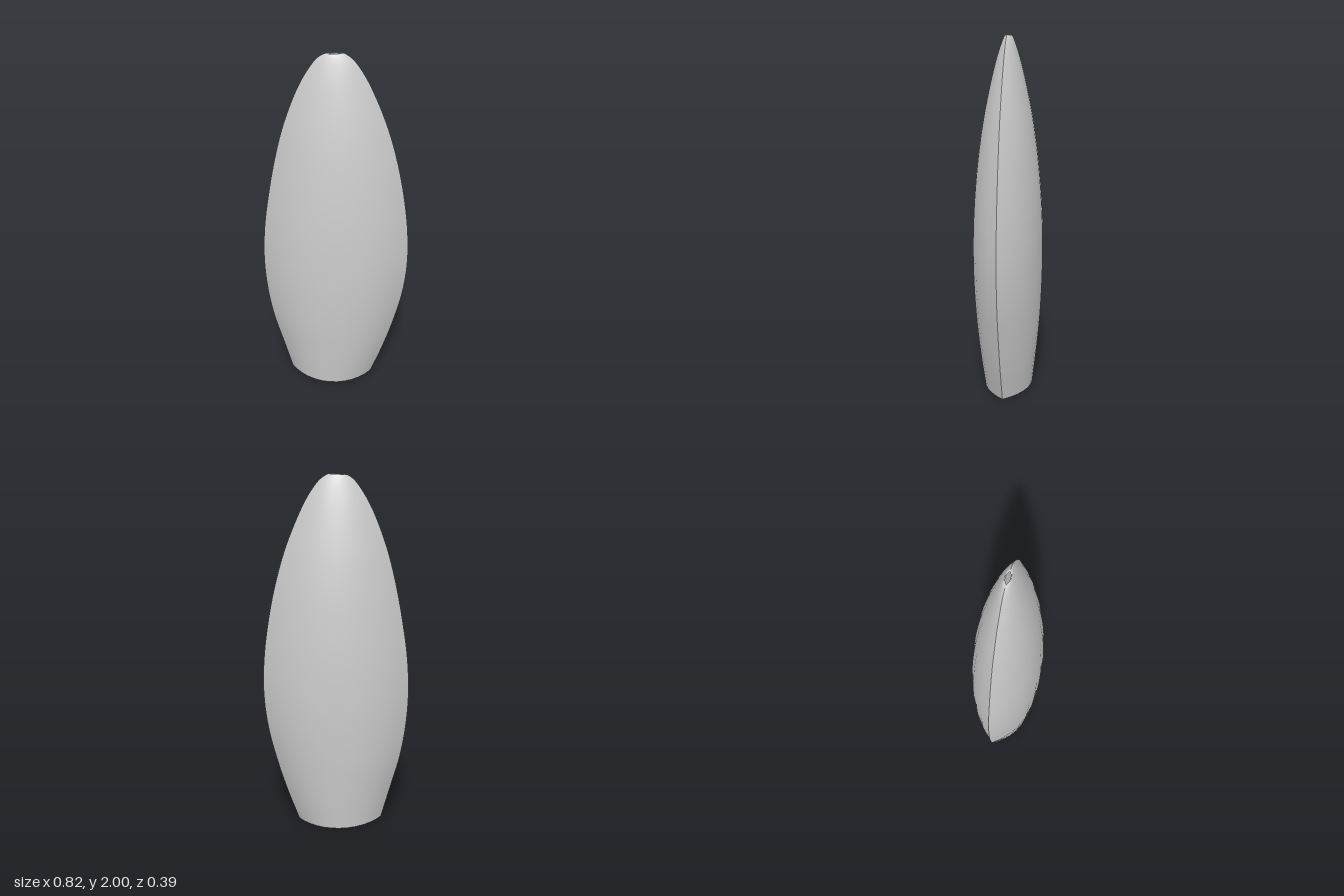
import * as THREE from 'three';

// Cross-sections from base to tip: left edge x, left edge y, right edge x, right edge y, half depth
const SECTIONS = [
  [-0.267, 0.015, 0.217, 0.0, 0.138],
  [-0.317, 0.2, 0.285, 0.19, 0.16],
  [-0.370, 0.4, 0.347, 0.4, 0.179],
  [-0.401, 0.6, 0.391, 0.6, 0.19],
  [-0.411, 0.8, 0.409, 0.8, 0.194],
  [-0.399, 1.0, 0.401, 1.0, 0.19],
  [-0.369, 1.2, 0.374, 1.2, 0.177],
  [-0.330, 1.4, 0.333, 1.4, 0.156],
  [-0.278, 1.6, 0.275, 1.6, 0.125],
  [-0.202, 1.8, 0.193, 1.8, 0.082],
  [-0.148, 1.9, 0.139, 1.9, 0.055],
  [-0.095, 1.97, 0.085, 1.97, 0.031],
  [-0.055, 1.995, 0.042, 1.998, 0.017],
  [-0.035, 1.994, 0.028, 1.998, 0.011],
];
const ROWS = 78, COLS = 12, ARC = 0.88;

// One curved face of the blade: side = 1 for the front, -1 for the back
function bladeFace(side) {
  const left = new THREE.CatmullRomCurve3(SECTIONS.map(s => new THREE.Vector3(s[0], s[1], s[4])));
  const right = new THREE.CatmullRomCurve3(SECTIONS.map(s => new THREE.Vector3(s[2], s[3], s[4])));
  const positions = [], index = [];
  for (let r = 0; r <= ROWS; r++) {
    const a = left.getPoint(r / ROWS), b = right.getPoint(r / ROWS);
    for (let c = 0; c <= COLS; c++) {
      // circular-arc section, so both faces meet in a sharp edge
      const angle = ARC * (2 * c / COLS - 1);
      const t = 0.5 + 0.5 * Math.sin(angle) / Math.sin(ARC);
      const bulge = (Math.cos(angle) - Math.cos(ARC)) / (1 - Math.cos(ARC));
      positions.push(
        THREE.MathUtils.lerp(a.x, b.x, t),
        Math.max(0, Math.min(2, THREE.MathUtils.lerp(a.y, b.y, t))),
        side * bulge * a.z);
      if (r < ROWS && c < COLS) {
        const i = r * (COLS + 1) + c, j = i + COLS + 1;
        if (side > 0) index.push(i, i + 1, j + 1, i, j + 1, j);
        else index.push(i, j + 1, i + 1, i, j, j + 1);
      }
    }
  }
  const geometry = new THREE.BufferGeometry();
  geometry.setAttribute('position', new THREE.Float32BufferAttribute(positions, 3));
  geometry.setIndex(index);
  geometry.computeVertexNormals();
  return geometry;
}

export function createModel() {
  const group = new THREE.Group();
  group.name = 'blade';
  // Hollow shell, open at the base and at the small tip hole
  const material = new THREE.MeshStandardMaterial({ color: 0xcccccc, side: THREE.DoubleSide });
  for (const [name, side] of [['frontFace', 1], ['backFace', -1]]) {
    const mesh = new THREE.Mesh(bladeFace(side), material);
    mesh.name = name;
    group.add(mesh);
  }
  return group;
}
